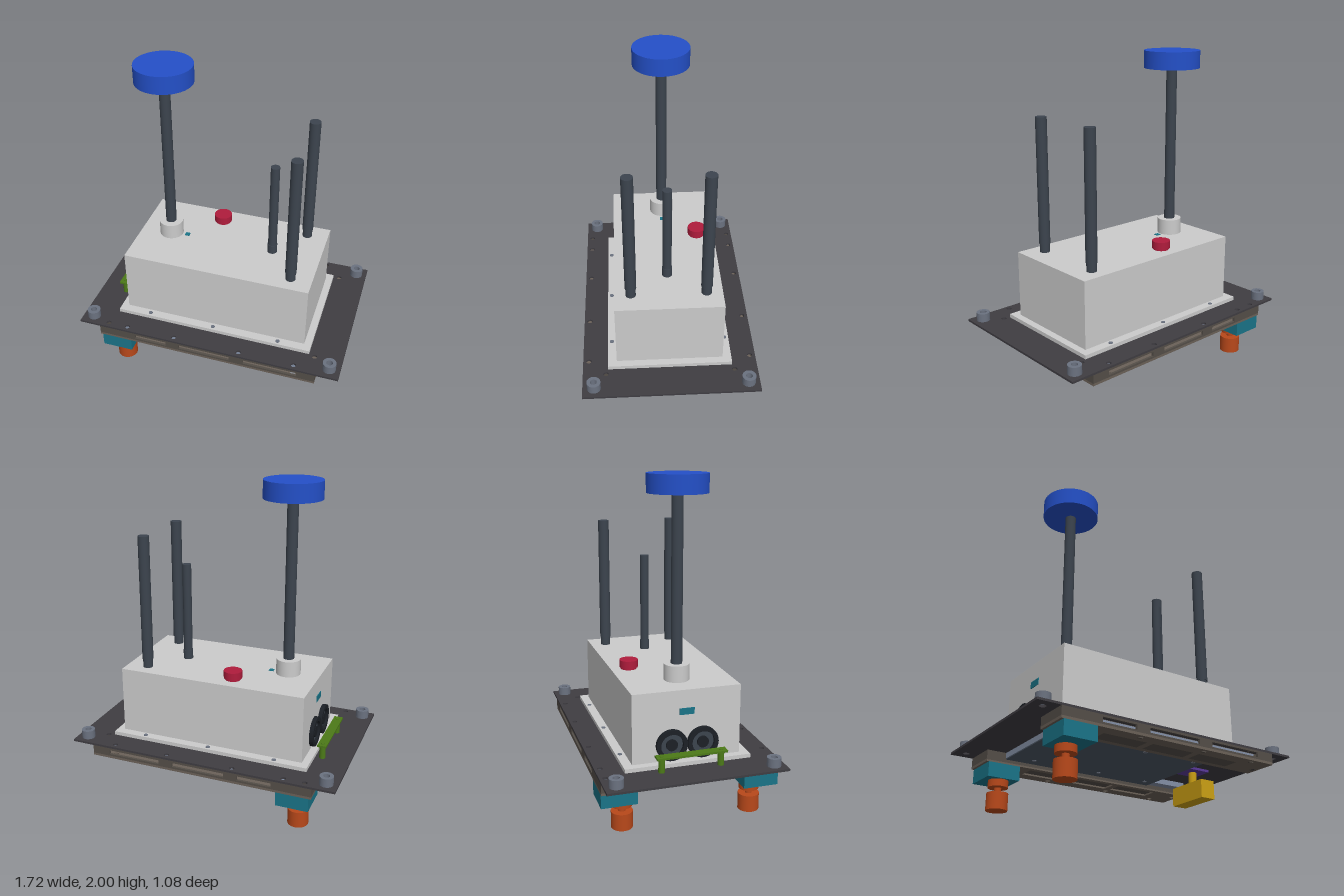
import * as THREE from 'three';

const COLORS = {
  shell: 0xcccccc, plate: 0x3f3d42, rail: 0x544e48, railBase: 0x6b6158, slate: 0x4c5663, edge: 0x8490a6,
  pole: 0x3c444e, steel: 0x6b7280, blue: 0x2450c8, red: 0xb01c3c, teal: 0x1a7488, orange: 0xb8481a,
  yellow: 0xcca014, green: 0x4c7a18, black: 0x1c2026, purple: 0x5a3a9a,
};
const materials = {};
for (const key in COLORS) materials[key] = new THREE.MeshStandardMaterial({ color: COLORS[key] });

export function createModel() {
  const model = new THREE.Group();

  const add = (name, geometry, color) => {
    const mesh = new THREE.Mesh(geometry, materials[color]);
    mesh.name = name;
    model.add(mesh);
    return mesh;
  };
  // Box given by its limits on each axis
  const box = (name, color, x0, x1, y0, y1, z0, z1) => {
    const mesh = add(name, new THREE.BoxGeometry(x1 - x0, y1 - y0, z1 - z0), color);
    mesh.position.set((x0 + x1) / 2, (y0 + y1) / 2, (z0 + z1) / 2);
    return mesh;
  };
  // Upright cylinder from y0 to y1
  const cyl = (name, color, x, z, r, y0, y1) => {
    const mesh = add(name, new THREE.CylinderGeometry(r, r, y1 - y0, 40), color);
    mesh.position.set(x, (y0 + y1) / 2, z);
    return mesh;
  };
  const rect = (x0, x1, y0, y1, Type = THREE.Shape) => new Type([
    new THREE.Vector2(x0, y0), new THREE.Vector2(x1, y0),
    new THREE.Vector2(x1, y1), new THREE.Vector2(x0, y1),
  ]);
  const hole = (x, y, r) => new THREE.Path().absarc(x, y, r, 0, Math.PI * 2, true);
  const extrude = (shape, depth) =>
    new THREE.ExtrudeGeometry(shape, { depth, bevelEnabled: false, curveSegments: 20 });
  // Horizontal sheet whose shape is drawn in x and -z
  const sheet = (name, color, shape, y0, y1) => {
    const mesh = add(name, extrude(shape, y1 - y0).rotateX(-Math.PI / 2), color);
    mesh.position.y = y0;
    return mesh;
  };

  // Base plate with bolt holes
  const boltXs = [-0.67, -0.54, -0.217, 0.217, 0.573];
  const plate = rect(-0.86, 0.86, -0.54, 0.54);
  for (const s of [-1, 1]) {
    for (const x of boltXs) plate.holes.push(hole(x, s * 0.505, 0.016));
    plate.holes.push(hole(0.683, s * 0.397, 0.016));
    for (const x of [-0.79, 0.79]) plate.holes.push(hole(x, s * 0.47, 0.02));
  }
  sheet('basePlate', 'plate', plate, 0.333, 0.346);

  // Corner bushings
  for (const x of [-0.79, 0.79]) for (const z of [-0.47, 0.47]) {
    const ring = new THREE.Shape().absarc(x, -z, 0.042, 0, Math.PI * 2);
    ring.holes.push(hole(x, -z, 0.02));
    sheet('cornerBushing', 'steel', ring, 0.346, 0.4);
  }

  // Housing with its flange and screws
  box('housingFlange', 'shell', -0.645, 0.645, 0.346, 0.37, -0.385, 0.385);
  box('housing', 'shell', -0.6, 0.6, 0.37, 0.795, -0.33, 0.33);
  for (const x of [-0.433, 0, 0.433]) for (const z of [-0.36, 0.36])
    cyl('flangeScrew', 'steel', x, z, 0.013, 0.365, 0.374);

  // Mast with disc head
  cyl('mastCollar', 'shell', -0.4, 0, 0.077, 0.795, 0.895);
  cyl('mast', 'pole', -0.4, 0, 0.034, 0.89, 1.9);
  cyl('mastHead', 'blue', -0.4, 0, 0.178, 1.89, 2);
  box('topIndicator', 'teal', -0.305, -0.275, 0.79, 0.799, -0.015, 0.015);

  // Stop button
  cyl('buttonBase', 'red', -0.112, -0.217, 0.05, 0.795, 0.81);
  cyl('stopButton', 'red', -0.112, -0.217, 0.057, 0.805, 0.852);

  // Antennas
  for (const [x, z, r, top] of [[0.465, 0.23, 0.035, 1.645], [0.465, -0.23, 0.035, 1.645], [0.287, 0, 0.028, 1.43]]) {
    cyl('antennaBase', 'pole', x, z, 0.031, 0.795, 0.855);
    cyl('antenna', 'pole', x, z, r, 0.85, top);
  }

  // Pair of round fans and a small window on the end wall
  for (const z of [-0.095, 0.095]) {
    const ring = new THREE.Shape().absarc(0, 0, 0.094, 0, Math.PI * 2);
    ring.holes.push(hole(0, 0, 0.068));
    const rim = add('fanRim', extrude(ring, 0.026), 'black');
    rim.rotation.y = -Math.PI / 2;
    rim.position.set(-0.6, 0.47, z);
    for (const [name, color, r, depth] of [['fanRecess', 'pole', 0.07, 0.008], ['fanHub', 'black', 0.035, 0.02]]) {
      const disc = add(name, new THREE.CylinderGeometry(r, r, depth, 32).rotateZ(Math.PI / 2), color);
      disc.position.set(-0.6 - depth / 2, 0.47, z);
    }
  }
  box('endWindow', 'teal', -0.604, -0.59, 0.645, 0.685, -0.045, 0.045);

  // Guard bar on two posts
  box('guardBar', 'green', -0.716, -0.66, 0.43, 0.442, -0.213, 0.213);
  for (const z of [-0.18, 0.18]) {
    cyl('guardPost', 'green', -0.687, z, 0.019, 0.346, 0.432);
    cyl('guardScrew', 'green', -0.687, z, 0.012, 0.44, 0.446);
  }

  // Notched plate beneath the base
  const under = new THREE.Shape([
    [-0.6, -0.325], [0.68, -0.325], [0.68, -0.26], [0.42, -0.26], [0.42, 0.26], [0.68, 0.26], [0.68, 0.325], [-0.6, 0.325],
  ].map(([x, y]) => new THREE.Vector2(x, y)));
  sheet('underPlate', 'edge', under, 0.3, 0.333);
  box('underCover', 'slate', -0.6, 0.42, 0.293, 0.3, -0.325, 0.325);
  for (const x of [-0.45, 0, 0.35]) for (const z of [-0.25, 0.25])
    cyl('underScrew', 'steel', x, z, 0.013, 0.289, 0.295);

  // Side rails, each a slotted wall, core and pocketed base
  for (const s of [-1, 1]) {
    const wall = rect(-0.72, 0.715, 0.28, 0.333);
    for (const [a, b] of [[-0.475, -0.26], [-0.175, 0.165], [0.255, 0.6]])
      wall.holes.push(rect(a, b, 0.292, 0.32, THREE.Path));
    add('railWall', extrude(wall, 0.015), 'rail').position.z = s > 0 ? 0.525 : -0.54;

    const base = rect(-0.72, 0.715, s * 0.325, s * 0.54);
    for (const x of boltXs) base.holes.push(hole(x, s * 0.505, 0.016));
    base.holes.push(hole(0.683, s * 0.397, 0.016));
    for (const [a, b] of [[-0.42, -0.14], [-0.1, 0.18], [0.22, 0.5]])
      base.holes.push(rect(a, b, s * 0.36, s * 0.46, THREE.Path));
    sheet('railBase', 'railBase', base, 0.265, 0.28);

    const lo = s > 0 ? 0.325 : -0.48, hi = s > 0 ? 0.48 : -0.325;
    box('railCore', 'rail', -0.72, 0.66, 0.275, 0.333, lo, hi);
    box('railInsert', 'edge', -0.6, 0.62, 0.285, 0.328, s * 0.482 - 0.003, s * 0.482 + 0.003);
    for (const x of [-0.72, 0.705])
      box('railEnd', 'rail', x, x + 0.01, 0.28, 0.333, s * 0.432 - 0.1, s * 0.432 + 0.1);

    // Foot block and levelling foot
    box('footBlock', 'teal', -0.705, -0.505, 0.178, 0.265, s * 0.4325 - 0.1075, s * 0.4325 + 0.1075);
    cyl('footCollar', 'orange', -0.607, s * 0.396, 0.06, 0.135, 0.178);
    cyl('footNeck', 'orange', -0.607, s * 0.396, 0.021, 0.095, 0.14);
    cyl('foot', 'orange', -0.607, s * 0.396, 0.064, 0, 0.102);
  }

  // Sensor bar hanging below the far end
  box('sensorMount', 'purple', 0.47, 0.62, 0.318, 0.333, -0.07, 0.07);
  cyl('sensorStem', 'yellow', 0.545, 0, 0.025, 0.235, 0.325);
  box('sensorBar', 'yellow', 0.495, 0.595, 0.127, 0.24, -0.142, 0.142);

  return model;
}
